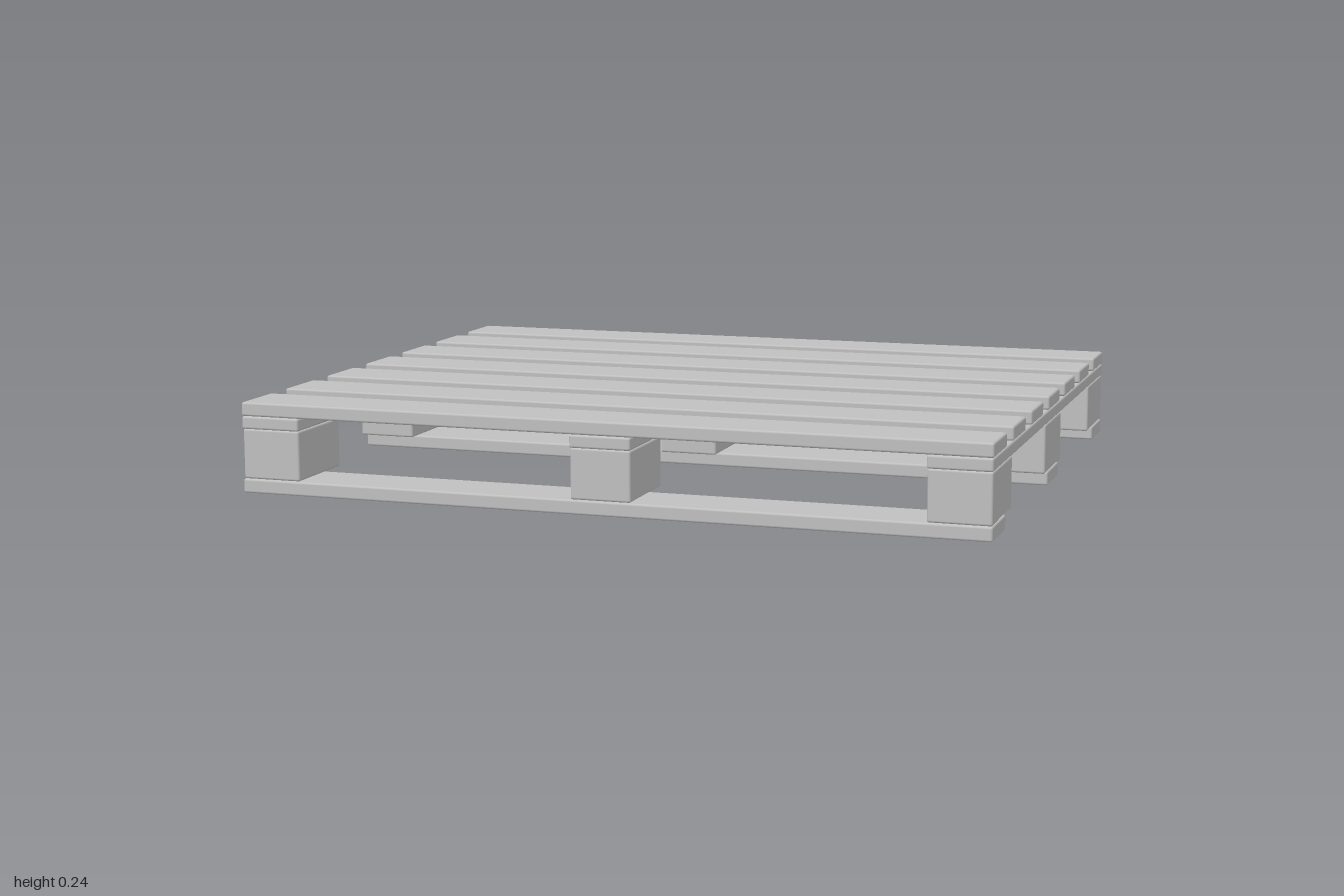
import * as THREE from 'three';
import { RoundedBoxGeometry } from 'three/addons/geometries/RoundedBoxGeometry.js';

export function createModel() {
  const pallet = new THREE.Group();
  pallet.name = 'pallet';

  const wood = new THREE.MeshStandardMaterial({ color: 0xbfbfbf });
  wood.name = 'plain grey';

  // Softly eased plank or block, placed by its centre in x and z and its bottom and top in y
  function addPiece(name, x, z, width, depth, bottom, top) {
    const geometry = new RoundedBoxGeometry(width, top - bottom, depth, 2, 0.006);
    const mesh = new THREE.Mesh(geometry, wood);
    mesh.name = name;
    mesh.position.set(x, (bottom + top) / 2, z);
    pallet.add(mesh);
  }

  const columns = [-0.918, 0, 0.918];

  // Seven deck boards across the top
  for (let i = -3; i <= 3; i++) {
    addPiece('deckBoard', 0, i * 0.249, 2, 0.163, 0.205, 0.242);
  }

  // Three stringer boards running front to back
  for (const x of columns) {
    addPiece('stringerBoard', x, 0, 0.163, 1.66, 0.171, 0.205);
  }

  // Nine spacer blocks
  for (const x of columns) {
    for (const z of [-0.706, 0, 0.706]) {
      addPiece('spacerBlock', x, z, 0.161, 0.238, 0.038, 0.171);
    }
  }

  // Three skid boards on the ground
  for (const z of [-0.747, 0, 0.747]) {
    addPiece('skidBoard', 0, z, 2, 0.163, 0, 0.038);
  }

  return pallet;
}
